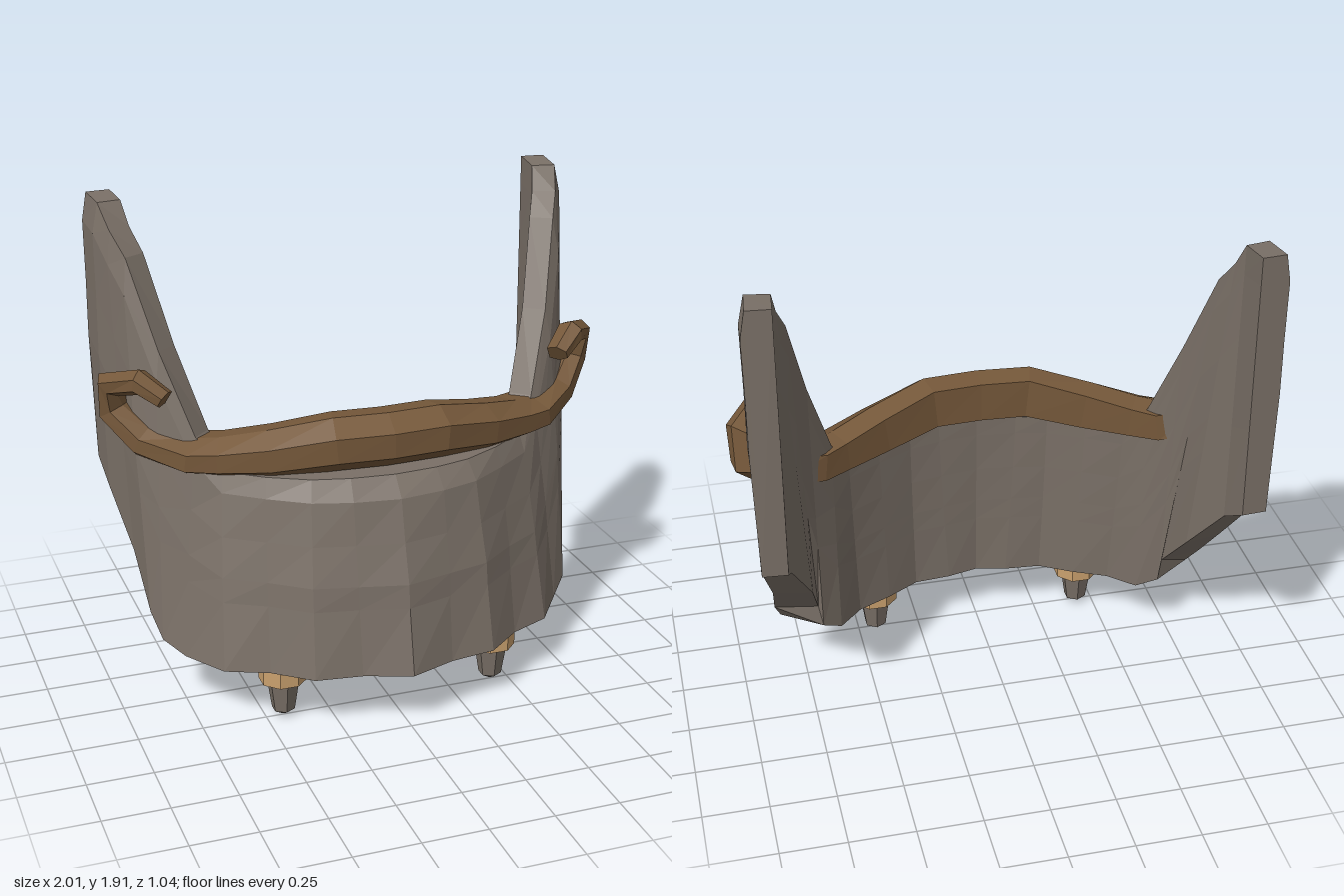
import * as THREE from 'three';

// Skin a row of closed cross-sections and close both ends
function loft(rings, material, name) {
  const n = rings[0].length, pos = [], idx = [];
  rings.forEach(r => r.forEach(p => pos.push(p.x, p.y, p.z)));
  for (let i = 0; i < rings.length - 1; i++) {
    for (let j = 0; j < n; j++) {
      const k = (j + 1) % n, a = i * n, b = a + n;
      idx.push(a + j, b + j, b + k, a + j, b + k, a + k);
    }
  }
  const e = (rings.length - 1) * n;
  for (let j = 1; j < n - 1; j++) idx.push(0, j, j + 1, e, e + j + 1, e + j);
  const g = new THREE.BufferGeometry();
  g.setAttribute('position', new THREE.Float32BufferAttribute(pos, 3));
  g.setIndex(idx);
  const flat = g.toNonIndexed();
  flat.computeVertexNormals();
  const mesh = new THREE.Mesh(flat, material);
  mesh.name = name;
  return mesh;
}

// Extend a list given for x >= 0 to the other side
const mirrored = half => [...half.slice(1).reverse().map(s => ({ ...s, side: -1 })), ...half];
const vec = (p, side) => new THREE.Vector3(p[0] * side, p[1], p[2]);
const tangent = (pts, i) => pts[Math.min(i + 1, pts.length - 1)].clone().sub(pts[Math.max(i - 1, 0)]).normalize();
// Outward horizontal normal of a path seen from above
const outward = (pts, i) => {
  const t = tangent(pts, i);
  return new THREE.Vector3(-t.z, 0, t.x).normalize();
};

function makeShell(material) {
  // Bottom and top outer edge points, bulge factor, bottom thickness
  const cols = mirrored([
    [[0, 0.23, 0.525], [0, 0.965, 0.31], 1, 0.28],
    [[0.18, 0.23, 0.46], [0.17, 0.965, 0.295], 0.9, 0.25],
    [[0.36, 0.23, 0.435], [0.31, 0.965, 0.26], 0.7, 0.25],
    [[0.50, 0.23, 0.32], [0.46, 0.965, 0.18], 0.4, 0.22],
    [[0.66, 0.23, 0.25], [0.60, 0.97, 0.085], 0.25, 0.23],
    [[0.77, 0.24, 0.10], [0.68, 1.09, 0.01], 0.25, 0.21],
    [[0.84, 0.29, 0.03], [0.78, 1.40, -0.10], 0.3, 0.19],
    [[0.868, 0.38, -0.04], [0.86, 1.73, -0.23], 0.4, 0.17],
    [[0.885, 0.57, -0.21], [0.90, 1.82, -0.30], 0.4, 0.15],
    [[0.935, 0.78, -0.37], [0.925, 1.91, -0.37], 0.5, 0.11],
    [[0.945, 0.86, -0.51], [0.938, 1.92, -0.51], 0.4, 0.095],
  ].map(([bottom, top, bulge, thick]) => ({ bottom, top, bulge, thick, side: 1 })));
  const bottoms = cols.map(c => vec(c.bottom, c.side));
  const tops = cols.map(c => vec(c.top, c.side));
  // Height fraction and bulge of the outer face
  const profile = [[0, 0], [0.35, 0.024], [0.475, 0.04], [0.68, 0.039], [0.9, 0.046], [1, 0]];
  const rings = cols.map((c, i) => {
    const nb = outward(bottoms, i), nt = outward(tops, i);
    const outer = [], inner = [];
    for (const [t, bulge] of profile) {
      const normal = nb.clone().lerp(nt, t).normalize();
      const base = bottoms[i].clone().lerp(tops[i], t);
      const thick = THREE.MathUtils.lerp(c.thick, 0.092, t);
      outer.push(base.clone().addScaledVector(normal, c.bulge * bulge));
      inner.unshift(base.clone().addScaledVector(normal, -thick));
    }
    return [...outer, ...inner];
  });
  return loft(rings, material, 'curvedShell');
}

function makeRail(material) {
  // Centre, half depth, half height; the last points curl into a hook
  const stations = mirrored([
    [[0, 1.075, 0.222], 0.09, 0.105],
    [[0.20, 1.075, 0.208], 0.09, 0.105],
    [[0.42, 1.035, 0.125], 0.09, 0.095],
    [[0.59, 1.015, 0.04], 0.09, 0.078],
    [[0.69, 1.012, -0.015], 0.095, 0.072],
    [[0.85, 1.055, -0.11], 0.06, 0.063],
    [[0.945, 1.16, -0.195], 0.055, 0.057],
    [[0.955, 1.27, -0.175], 0.053, 0.055],
    [[0.87, 1.31, -0.05], 0.048, 0.05],
    [[0.79, 1.25, 0.005], 0.04, 0.038],
  ].map(([p, w, h], k) => ({ p, w, h, hook: k > 4, side: 1 })));
  const pts = stations.map(s => vec(s.p, s.side));
  const section = [[1, -0.45], [1, 0.45], [0.1, 1], [-1, 0.9], [-1, -0.6], [0.1, -1]];
  const rings = stations.map((s, i) => {
    const u = s.hook ? new THREE.Vector3(0.65 * s.side, 0, 0.76) : outward(pts, i);
    const v = u.clone().cross(tangent(pts, i)).normalize();
    return section.map(([a, b]) => pts[i].clone().addScaledVector(u, a * s.w).addScaledVector(v, b * s.h));
  });
  return loft(rings, material, 'hookedRail');
}

export function createModel() {
  const mat = color => new THREE.MeshStandardMaterial({ color, flatShading: true });
  const grey = mat(0x7a7067), brown = mat(0x75583a), tan = mat(0xc9a06e);
  grey.name = 'stoneGrey';
  brown.name = 'darkBrown';
  tan.name = 'paleTan';

  const group = new THREE.Group();
  group.name = 'curvedGuard';
  group.add(makeShell(grey), makeRail(brown));

  // Pegs with collars below the shell
  const profile = pts => pts.map(([r, y]) => new THREE.Vector2(r, y));
  const collarGeo = new THREE.LatheGeometry(profile([[0, 0.16], [0.094, 0.16], [0.094, 0.25], [0, 0.25]]), 8, Math.PI / 8);
  const pegGeo = new THREE.LatheGeometry(profile([[0, 0.005], [0.045, 0.032], [0.066, 0.17], [0, 0.17]]), 6);
  for (const side of [-1, 1]) {
    const collar = new THREE.Mesh(collarGeo, tan);
    const peg = new THREE.Mesh(pegGeo, grey);
    collar.name = side > 0 ? 'leftCollar' : 'rightCollar';
    peg.name = side > 0 ? 'leftPeg' : 'rightPeg';
    for (const m of [collar, peg]) {
      m.position.set(0.43 * side, 0, 0.245);
      group.add(m);
    }
  }
  return group;
}
